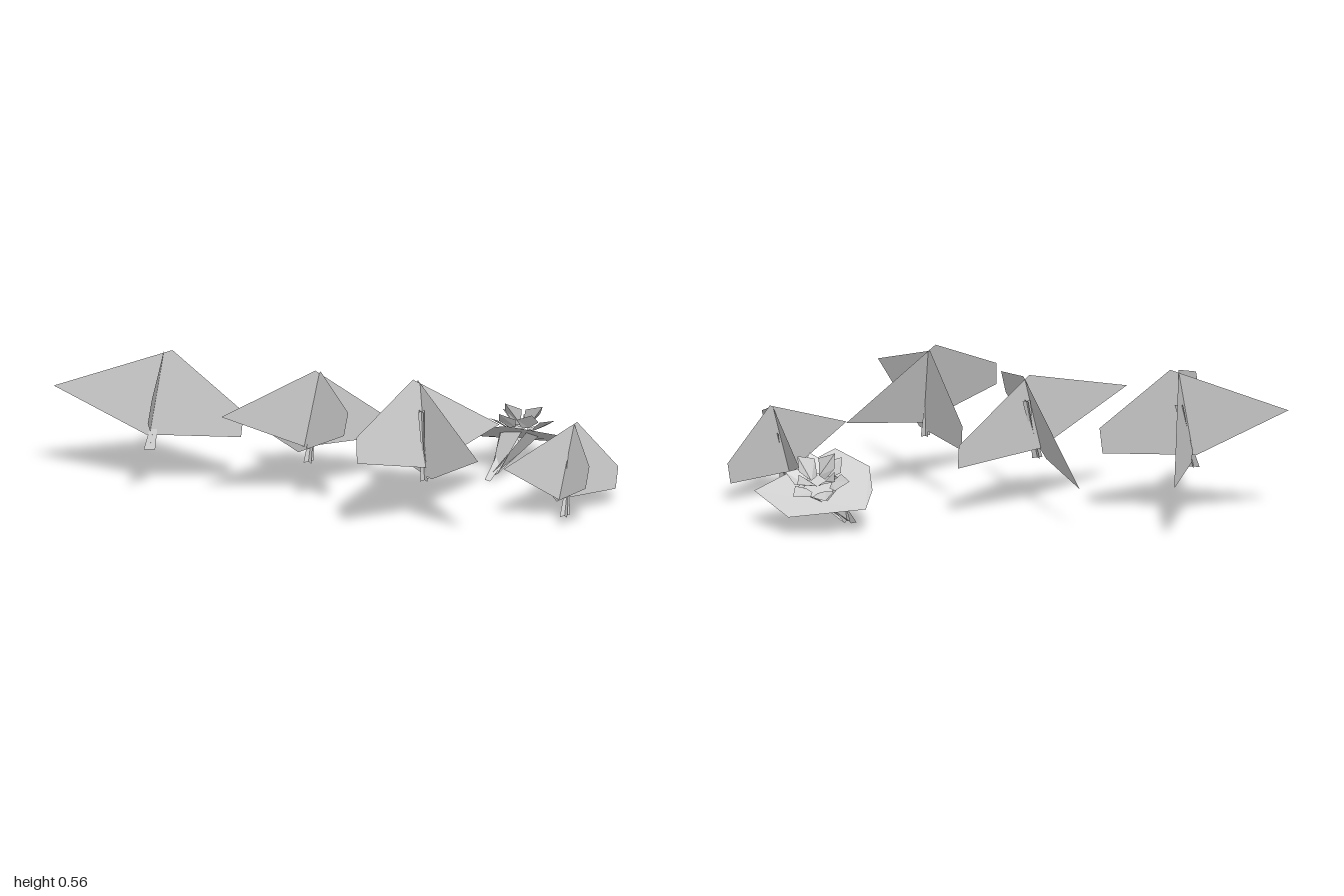
import * as THREE from 'three';

const material = new THREE.MeshStandardMaterial({ color: 0xcccccc, side: THREE.DoubleSide, flatShading: true });
const V = (p) => new THREE.Vector3(...p);

// Flat convex card from its corners
function card(name, corners) {
  const pos = [];
  for (let i = 1; i < corners.length - 1; i++) {
    for (const p of [corners[0], corners[i], corners[i + 1]]) pos.push(p.x, p.y, p.z);
  }
  const geo = new THREE.BufferGeometry();
  geo.setAttribute('position', new THREE.Float32BufferAttribute(pos, 3));
  geo.computeVertexNormals();
  const mesh = new THREE.Mesh(geo, material);
  mesh.name = name;
  return mesh;
}

// Shared leaf outline, weighted along tip->peak and tip->heel
const OUTLINE = [[0, 0], [1, 0], [0.38, 0.774], [0, 1], [-0.345, 0.712]];
function leaf(name, [tip, peak, heel]) {
  const t = V(tip), a = V(peak).sub(t), b = V(heel).sub(t);
  return card(name, OUTLINE.map(([u, v]) => t.clone().addScaledVector(a, u).addScaledVector(b, v)));
}

// Strip between two points, with a width at each end
function strip(name, from, to, side, w0, w1) {
  const s = side.clone().normalize();
  return card(name, [
    from.clone().addScaledVector(s, -w0 / 2), from.clone().addScaledVector(s, w0 / 2),
    to.clone().addScaledVector(s, w1 / 2), to.clone().addScaledVector(s, -w1 / 2),
  ]);
}

// Plant of two crossed leaves with a slim crossed stem
function plant({ leaves, foot, head }, index) {
  const g = new THREE.Group();
  g.name = 'plant' + (index + 1);
  leaves.forEach((l, i) => g.add(leaf(i ? 'crossLeaf' : 'mainLeaf', l)));
  const f = V(foot), h = V(head), mid = f.clone().lerp(h, 0.45);
  for (const k of [0, 1]) {
    const [tip, , heel] = leaves[k].map(V);
    const side = heel.sub(tip).setY(0);
    g.add(strip('stem', f, mid, side, 0.04, 0.02));
    g.add(strip('shoot', mid, h, side, 0.015, 0.03));
  }
  return g;
}

const PLANTS = [
  { leaves: [[[-1, 0.42, -0.22], [-0.58, 0.56, -0.18], [-0.34, 0.235, -0.125]],
             [[-0.59, 0.22, -0.515], [-0.61, 0.56, -0.18], [-0.69, 0.39, 0.07]]],
    foot: [-0.665, 0.19, -0.145], head: [-0.61, 0.44, -0.215] },
  { leaves: [[[-0.43, 0.42, 0.1], [-0.08, 0.51, -0.07], [0.175, 0.195, -0.175]],
             [[-0.255, 0.17, -0.35], [-0.06, 0.505, -0.07], [0, 0.37, 0.19]]],
    foot: [-0.11, 0.185, -0.005], head: [-0.07, 0.42, -0.09] },
  { leaves: [[[0.57, 0.31, 0.01], [0.25, 0.56, 0.145], [0.03, 0.345, 0.375]],
             [[0.45, 0.4, 0.515], [0.27, 0.545, 0.12], [0.16, 0.22, -0.03]]],
    foot: [0.285, 0.2, 0.22], head: [0.275, 0.46, 0.2] },
  { leaves: [[[0.565, 0.245, 0.25], [0.84, 0.35, 0.1], [0.98, 0.07, 0.07]],
             [[0.7, 0.078, -0.063], [0.83, 0.345, 0.11], [0.85, 0.195, 0.333]]],
    foot: [0.785, 0.04, 0.22], head: [0.815, 0.24, 0.13] },
];

// Tilted rosette: a broad collar, small petals above it, stem cards below
function rosette() {
  const g = new THREE.Group();
  g.name = 'rosette';
  const rim = [[0.505, 0.1, -0.36], [0.78, 0.07, -0.355], [0.9, 0.13, -0.22],
               [0.61, 0.25, -0.1], [0.49, 0.21, -0.19], [0.48, 0.15, -0.29]].map(V);
  g.add(card('collar', rim));

  const centre = V([0.67, 0.16, -0.25]);
  const up = V([0.15, 1, -0.64]).normalize();
  const ax = V([1, 0, 0]).addScaledVector(up, -up.x).normalize();
  const az = ax.clone().cross(up);
  const dir = (a) => ax.clone().multiplyScalar(Math.cos(a)).addScaledVector(az, Math.sin(a));

  // Two rings of small upturned petals
  for (const [count, r, lift, turn] of [[6, 0.09, 0.02, 0.3], [4, 0.04, 0.05, 0.8]]) {
    for (let i = 0; i < count; i++) {
      const a = turn + (i / count) * Math.PI * 2;
      const out = dir(a), side = dir(a + Math.PI / 2);
      const root = centre.clone().addScaledVector(out, r * 0.5).addScaledVector(up, lift * 0.4);
      const at = (o, s, u) => root.clone().addScaledVector(out, o).addScaledVector(side, s).addScaledVector(up, u);
      g.add(card('petal', [at(0, -0.015, 0), at(0.03, -0.04, lift), at(0.075, 0, lift + 0.015),
                           at(0.03, 0.04, lift), at(0, 0.015, 0)]));
    }
  }

  // Fan of cards narrowing to the foot
  const foot = V([0.57, 0.015, -0.21]);
  for (let i = 0; i < 4; i++) {
    const a = 0.6 + i * Math.PI / 2;
    const top = centre.clone().addScaledVector(dir(a), 0.06);
    g.add(strip('stemCard', foot, top, dir(a + Math.PI / 2), 0.03, 0.09));
  }
  g.add(strip('footCard', V([0.545, 0.0, -0.19]), V([0.64, 0.14, -0.24]), V([1, -0.3, 0.3]), 0.02, 0.05));
  return g;
}

export function createModel() {
  const model = new THREE.Group();
  model.name = 'plantCluster';
  PLANTS.forEach((p, i) => model.add(plant(p, i)));
  model.add(rosette());
  return model;
}
